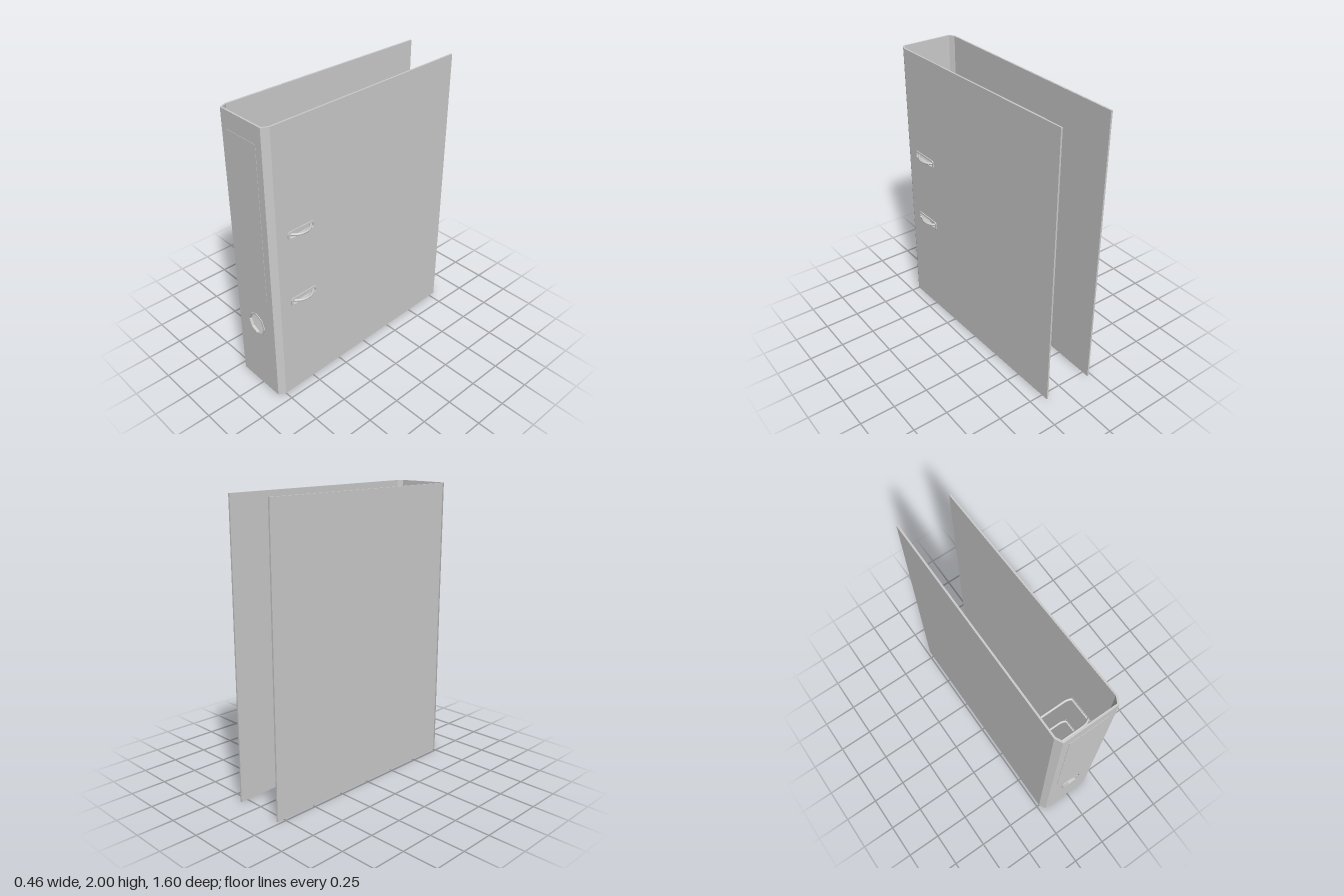
import * as THREE from 'three';

const HEIGHT = 2, THICK = 0.012;
const RING_HEIGHTS = [0.74, 1.245];
const material = new THREE.MeshStandardMaterial({ color: 0xcccccc, flatShading: true });
const smooth = new THREE.MeshStandardMaterial({ color: 0xcccccc });

function addMesh(parent, name, geometry, mat = material) {
  const mesh = new THREE.Mesh(geometry, mat);
  mesh.name = name;
  parent.add(mesh);
  return mesh;
}

function octagon(cx, cy, r) {
  return Array.from({ length: 8 }, (_, i) => {
    const a = (i * Math.PI) / 4;
    return new THREE.Vector2(cx + r * Math.cos(a), cy + r * Math.sin(a));
  });
}

// Long slot with chamfered ends
function slot(cx, cy, halfLength, halfHeight) {
  const l = halfLength, h = halfHeight, c = 0.012, k = h * 0.6;
  return [[-l, -k], [c - l, -h], [l - c, -h], [l, -k], [l, k], [l - c, h], [c - l, h], [-l, k]]
    .map(([x, y]) => new THREE.Vector2(cx + x, cy + y));
}

// Plate or frame reaching from z = back to z = front
function plate(outline, holes, back, front) {
  const shape = new THREE.Shape(outline);
  holes.forEach((points) => shape.holes.push(new THREE.Path(points)));
  return new THREE.ExtrudeGeometry(shape, { depth: front - back, bevelEnabled: false })
    .translate(0, 0, back);
}

// Upright board between two plan points [x, z], its outside on local +z
function board(parent, name, a, b, holes = []) {
  const group = new THREE.Group();
  group.name = name;
  group.position.set(a[0], 0, a[1]);
  group.rotation.y = Math.atan2(a[1] - b[1], b[0] - a[0]);
  const length = Math.hypot(b[0] - a[0], b[1] - a[1]);
  const outline = [[0, 0], [length, 0], [length, HEIGHT], [0, HEIGHT]]
    .map(([x, y]) => new THREE.Vector2(x, y));
  addMesh(group, name + 'Board', plate(outline, holes, -THICK, 0));
  parent.add(group);
  return group;
}

// U-shaped path of a binder ring: straight, half circle, straight
class RingCurve extends THREE.Curve {
  getPoint(t, target = new THREE.Vector3()) {
    const x0 = -0.185, xc = 0.117, zc = 0.553, r = 0.1;
    const straight = xc - x0, arc = Math.PI * r;
    const d = t * (2 * straight + arc);
    if (d < straight) return target.set(x0 + d, 0, zc - r);
    if (d > straight + arc) return target.set(xc - (d - straight - arc), 0, zc + r);
    const a = (d - straight) / r - Math.PI / 2;
    return target.set(xc + r * Math.cos(a), 0, zc + r * Math.sin(a));
  }
}

export function createModel() {
  const model = new THREE.Group();
  model.name = 'leverArchFile';

  // Cover, folded around a spine with chamfered edges
  const p = [[-0.23, -0.8], [-0.23, 0.75], [-0.205, 0.797], [0.165, 0.797], [0.19, 0.75], [0.147, -0.8]];
  const holeX = 0.185, holeY = 0.515, slotX = 0.193;
  board(model, 'rightCover', p[0], p[1]);
  board(model, 'rightSpineEdge', p[1], p[2]);
  const spine = board(model, 'spine', p[2], p[3], [octagon(holeX, holeY, 0.082)]);
  board(model, 'leftSpineEdge', p[3], p[4]);
  const cover = board(model, 'leftCover', p[4], p[5],
    RING_HEIGHTS.map((y) => slot(slotX, y, 0.1, 0.022)));

  // Finger hole rim and label on the spine
  addMesh(spine, 'fingerHoleRim',
    plate(octagon(holeX, holeY, 0.088), [octagon(holeX, holeY, 0.075)], -THICK - 0.003, 0.005));
  addMesh(spine, 'label', new THREE.BoxGeometry(0.266, 1.1, 0.002)).position.set(0.183, 1.33, 0.001);

  // Slot frames in the cover and the rings that pass through them
  const curve = new RingCurve();
  const ringRadius = 0.009;
  for (const y of RING_HEIGHTS) {
    addMesh(cover, 'slotFrame',
      plate(slot(slotX, y, 0.109, 0.031), [slot(slotX, y, 0.098, 0.019)], -THICK - 0.002, 0.007));
    const ring = new THREE.Group();
    ring.name = 'binderRing';
    ring.position.y = y;
    addMesh(ring, 'ringWire', new THREE.TubeGeometry(curve, 64, ringRadius, 10), smooth);
    for (const t of [0, 1]) {
      const cap = addMesh(ring, 'ringEnd', new THREE.CircleGeometry(ringRadius, 10));
      cap.position.copy(curve.getPoint(t));
      cap.rotation.y = -Math.PI / 2;
    }
    model.add(ring);
  }
  return model;
}
